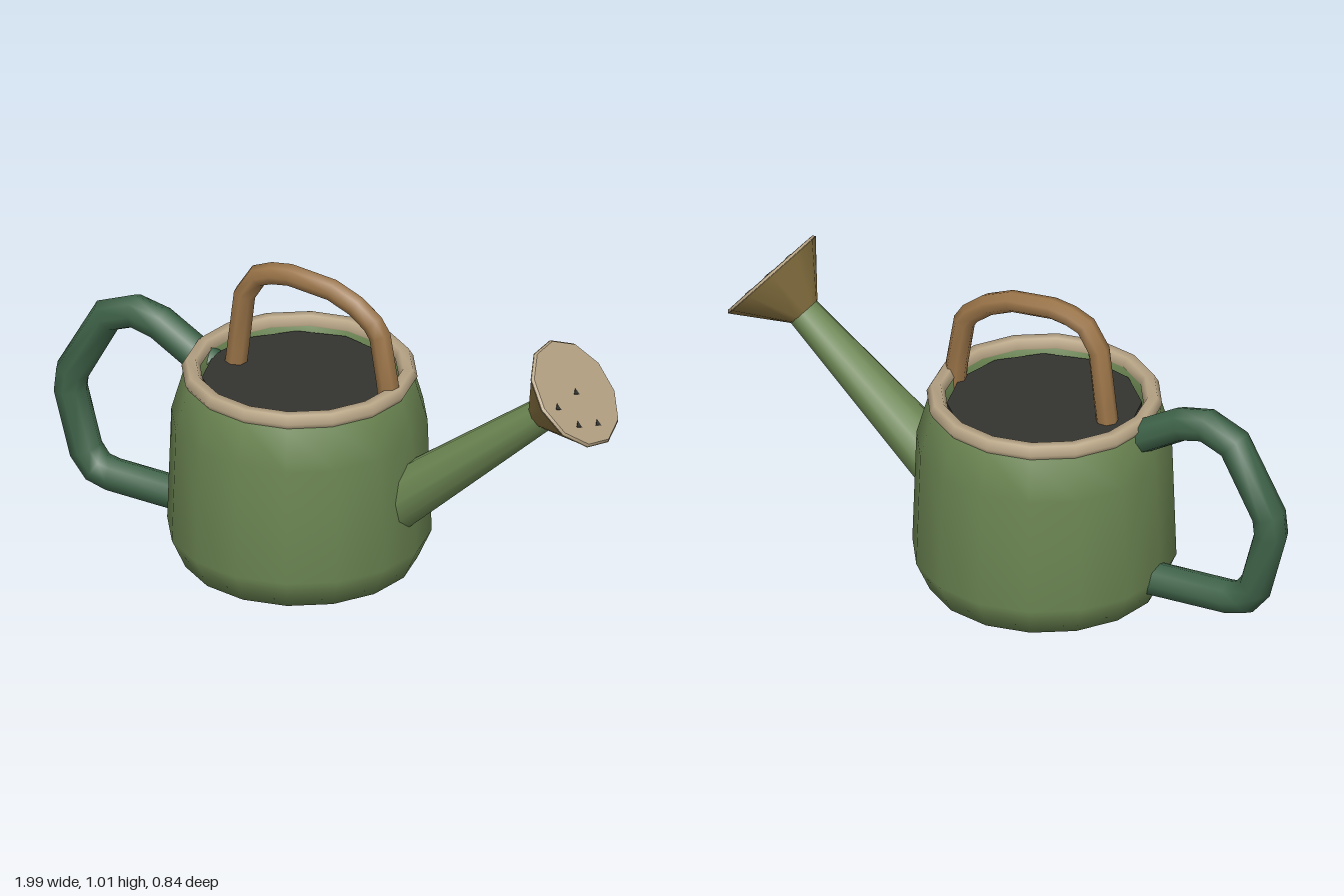
import * as THREE from 'three';

const BODY_X = -0.12;

function part(parent, name, geometry, color, side = THREE.FrontSide) {
  const mesh = new THREE.Mesh(geometry, new THREE.MeshStandardMaterial({ color, side }));
  mesh.name = name;
  parent.add(mesh);
  return mesh;
}

// Planar polyline whose rings sit exactly on the given points
class BentPath extends THREE.Curve {
  constructor(points) {
    super();
    this.points = points.map(([x, y]) => new THREE.Vector3(x, y, 0));
  }
  getPoint(t, target = new THREE.Vector3()) {
    const f = t * (this.points.length - 1);
    const i = Math.min(Math.floor(f), this.points.length - 2);
    return target.lerpVectors(this.points[i], this.points[i + 1], f - i);
  }
  getPointAt(u, target) {
    return this.getPoint(u, target);
  }
  getTangentAt(u, target = new THREE.Vector3()) {
    const last = this.points.length - 1;
    const i = Math.round(u * last);
    const p = this.points[i];
    const before = p.clone().sub(this.points[Math.max(i - 1, 0)]).normalize();
    const after = this.points[Math.min(i + 1, last)].clone().sub(p).normalize();
    return target.addVectors(before, after).normalize();
  }
}

function bentTube(points, radius, sides) {
  return new THREE.TubeGeometry(new BentPath(points), points.length - 1, radius, sides, false);
}

export function createModel() {
  const model = new THREE.Group();
  model.name = 'wateringCan';

  // Body with closed bottom and a short inner lip
  const profile = [
    [0, 0], [0.375, 0], [0.42, 0.1], [0.407, 0.49], [0.37, 0.62],
    [0.345, 0.645], [0.318, 0.64], [0.315, 0.57],
  ].map(([r, y]) => new THREE.Vector2(r, y));
  part(model, 'body', new THREE.LatheGeometry(profile, 16), 0x6b8552, THREE.DoubleSide)
    .position.x = BODY_X;

  // Rim ring
  const rim = part(model, 'rim', new THREE.TorusGeometry(0.345, 0.03, 6, 16), 0xb8a586);
  rim.rotation.x = -Math.PI / 2;
  rim.position.set(BODY_X, 0.643, 0);

  // Dark surface inside the opening
  part(model, 'water', new THREE.CylinderGeometry(0.308, 0.308, 0.02, 12), 0x333330)
    .position.set(BODY_X, 0.615, 0);

  // Carrying handle over the opening
  part(model, 'topHandle', bentTube([
    [-0.35, 0.6], [-0.34, 0.68], [-0.317, 0.87], [-0.27, 0.945], [-0.215, 0.967], [-0.15, 0.977],
    [0, 0.961], [0.085, 0.925], [0.145, 0.878], [0.17, 0.84], [0.197, 0.68], [0.205, 0.6],
  ], 0.036, 7), 0x9a7448);

  // Pouring handle at the side
  part(model, 'sideHandle', bentTube([
    [-0.44, 0.585], [-0.485, 0.61], [-0.62, 0.69], [-0.71, 0.71], [-0.81, 0.67], [-0.935, 0.445],
    [-0.942, 0.38], [-0.887, 0.175], [-0.845, 0.122], [-0.79, 0.108], [-0.5, 0.096], [-0.45, 0.095],
  ], 0.056, 8), 0x3f6349);

  // Spout, tapering along its sloping axis
  const base = new THREE.Vector3(0.2, 0.245, 0);
  const tip = new THREE.Vector3(0.755, 0.708, 0);
  const along = tip.clone().sub(base);
  const spout = part(model, 'spout',
    new THREE.CylinderGeometry(0.055, 0.098, along.length(), 10), 0x6b8552);
  spout.position.copy(base).add(tip).multiplyScalar(0.5);
  spout.rotation.z = Math.atan2(along.y, along.x) - Math.PI / 2;

  // Sprinkler rose: flared cone, face plate and holes
  const rose = new THREE.Group();
  rose.name = 'rose';
  rose.position.set(0.87, 0.81, 0);
  rose.rotation.z = -0.864;
  model.add(rose);
  part(rose, 'roseCone',
    new THREE.CylinderGeometry(0.187, 0.055, 0.156, 11, 1, false, Math.PI / 2), 0x85703f)
    .position.y = -0.08;
  part(rose, 'rosePlate',
    new THREE.CylinderGeometry(0.18, 0.187, 0.01, 11, 1, false, Math.PI / 2), 0xb8a586)
    .position.y = 0.001;
  for (const [x, z] of [[0, 0], [0, 0.12], [0.085, 0.085], [0.12, 0]]) {
    part(rose, 'sprinkleHole', new THREE.CylinderGeometry(0.014, 0.014, 0.006, 3), 0x333330)
      .position.set(x, 0.005, z);
  }

  return model;
}
